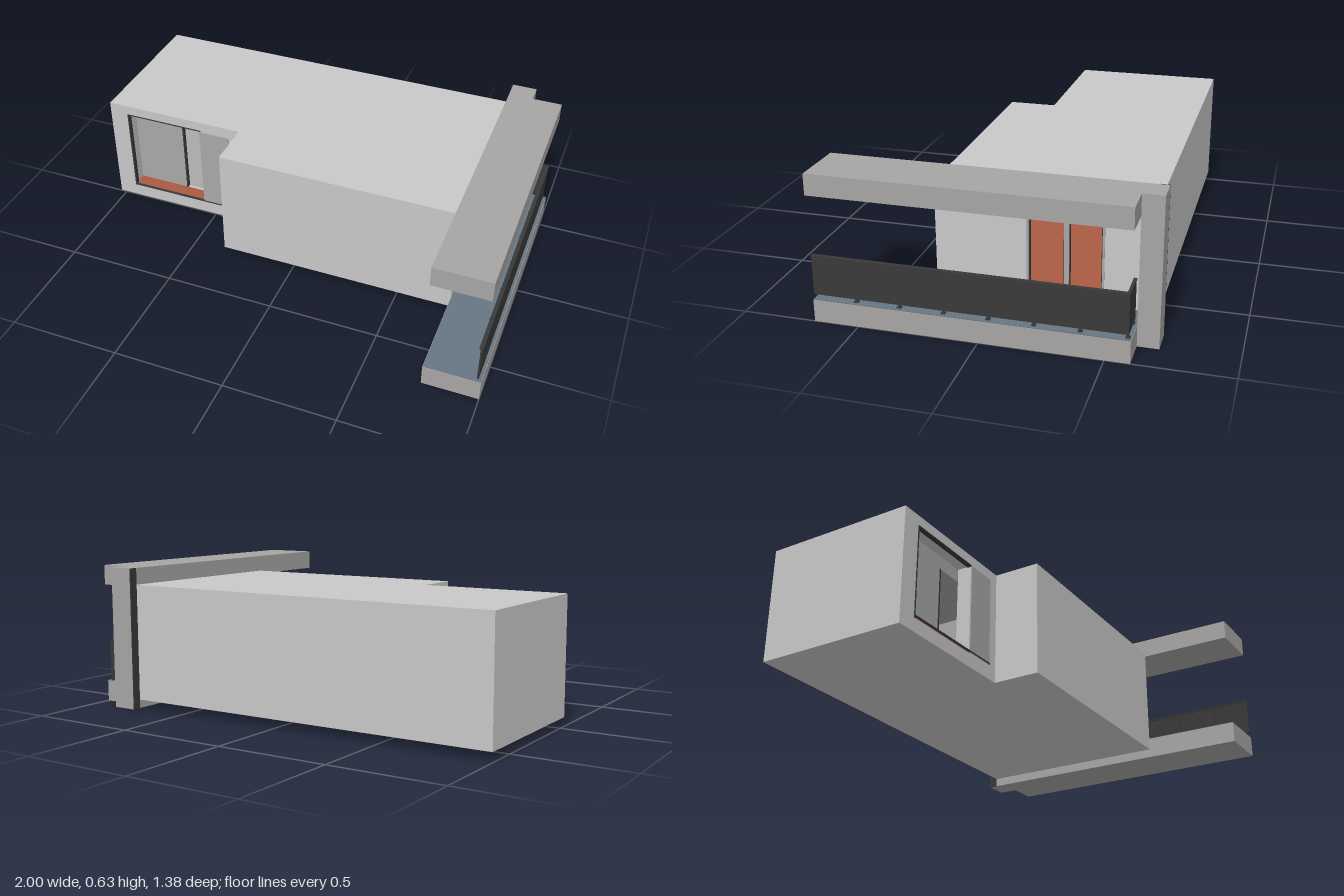
import * as THREE from 'three';

const mat = (name, color) => {
  const m = new THREE.MeshStandardMaterial({ color });
  m.name = name;
  return m;
};

export function createModel() {
  const model = new THREE.Group();
  model.name = 'apartment';

  const wall = mat('light plaster', 0xc8c8c8);
  const concrete = mat('concrete', 0xa6a5a3);
  const grey = mat('interior grey', 0xa8a8a8);
  const orange = mat('terracotta', 0xaa5b42);
  const dark = mat('dark metal', 0x393939);
  const deckBlue = mat('blue grey deck', 0x667683);

  const add = (name, geometry, material) => {
    const mesh = new THREE.Mesh(geometry, material);
    mesh.name = name;
    model.add(mesh);
    return mesh;
  };
  // Box from minimum and maximum corners
  const box = (name, material, x0, x1, y0, y1, z0, z1) => {
    const g = new THREE.BoxGeometry(x1 - x0, y1 - y0, z1 - z0);
    g.translate((x0 + x1) / 2, (y0 + y1) / 2, (z0 + z1) / 2);
    return add(name, g, material);
  };
  // Box seen from inside, with its own floor material
  const room = (name, floor, x0, x1, y0, y1, z0, z1) => {
    const g = new THREE.BoxGeometry(x1 - x0, y1 - y0, z1 - z0);
    g.scale(-1, 1, 1);
    g.computeVertexNormals();
    g.translate((x0 + x1) / 2, (y0 + y1) / 2, (z0 + z1) / 2);
    return add(name, g, [grey, grey, grey, floor, grey, grey]);
  };
  // Upright wall facing +z with one rectangular opening [u0, u1, v0, v1]
  const piercedWall = (u0, u1, v0, v1, hole, depth) => {
    const rect = (C, a, b, c, d) => {
      const p = new C();
      p.moveTo(a, c);
      p.lineTo(b, c);
      p.lineTo(b, d);
      p.lineTo(a, d);
      p.closePath();
      return p;
    };
    const shape = rect(THREE.Shape, u0, u1, v0, v1);
    shape.holes.push(rect(THREE.Path, ...hole));
    return new THREE.ExtrudeGeometry(shape, { depth, bevelEnabled: false });
  };

  // L-shaped floor and roof slabs
  const plan = new THREE.Shape([
    [-1, 0.65], [-1, -0.04], [-0.335, -0.04], [-0.335, -0.25], [0.755, -0.25], [0.755, 0.65],
  ].map(([x, y]) => new THREE.Vector2(x, y)));
  for (const [name, y, depth] of [['floorSlab', 0.04, 0.06], ['roof', 0.53, 0.03]]) {
    const g = new THREE.ExtrudeGeometry(plan, { depth, bevelEnabled: false });
    g.rotateX(-Math.PI / 2);
    g.translate(0, y, 0);
    add(name, g, wall);
  }

  // Outer walls
  box('backWall', wall, -1, 0.755, 0.1, 0.53, -0.65, -0.625);
  box('rightEndWall', wall, -1, -0.97, 0.1, 0.53, -0.625, -0.03);
  box('stepWall', wall, -0.335, -0.305, 0.1, 0.53, 0.04, 0.22);
  box('frontWall', wall, -0.335, 0.755, 0.1, 0.53, 0.22, 0.25);
  const entranceWall = piercedWall(-1, -0.305, 0.1, 0.53, [-0.91, -0.53, 0.101, 0.515], 0.07);
  entranceWall.translate(0, 0, -0.03);
  add('entranceWall', entranceWall, wall);
  const balconyWall = piercedWall(-0.22, 0.625, 0.1, 0.53, [0.13, 0.445, 0.101, 0.475], 0.03);
  balconyWall.rotateY(Math.PI / 2);
  balconyWall.translate(0.725, 0, 0);
  add('balconyWall', balconyWall, wall);

  // Rooms behind the openings
  room('livingRoom', orange, -0.1, 0.724, 0.103, 0.528, -0.622, 0.218);
  room('entranceRoom', grey, -0.96, -0.12, 0.103, 0.528, -0.622, -0.045);

  // Entrance recess: threshold, inner screen with doorway, sliding panel
  box('threshold', orange, -0.91, -0.53, 0.1, 0.105, -0.03, 0.04);
  box('innerScreen', grey, -0.93, -0.66, 0.1, 0.528, -0.045, -0.03);
  box('doorHeader', grey, -0.66, -0.51, 0.455, 0.528, -0.045, -0.03);
  box('doorEdge', dark, -0.664, -0.658, 0.105, 0.455, -0.046, -0.027);
  box('entranceFrameSide', dark, -0.912, -0.906, 0.1, 0.515, 0.02, 0.042);
  box('entranceFrameTop', dark, -0.912, -0.53, 0.511, 0.516, 0.02, 0.042);
  box('slidingPanel', grey, -0.535, -0.39, 0.105, 0.51, 0.04, 0.046);
  box('slidingTrack', dark, -0.91, -0.385, 0.105, 0.111, 0.038, 0.047);

  // Balcony door frame and two sashes
  const frame = (name, material, z0, z1, top, t, x0, x1) => {
    box(name + 'Back', material, x0, x1, 0.1, top, z0, z0 + t);
    box(name + 'Front', material, x0, x1, 0.1, top, z1 - t, z1);
    box(name + 'Top', material, x0, x1, top - t, top, z0 + t, z1 - t);
  };
  frame('balconyDoorFrame', grey, -0.445, -0.13, 0.475, 0.009, 0.73, 0.759);
  box('balconyDoorMullion', grey, 0.73, 0.758, 0.1, 0.466, -0.303, -0.283);
  frame('fixedSash', dark, -0.284, -0.139, 0.468, 0.004, 0.738, 0.752);
  frame('openingSash', dark, -0.436, -0.302, 0.448, 0.004, 0.738, 0.752);
  box('doorHandle', dark, 0.75, 0.764, 0.442, 0.448, -0.42, -0.395);

  // Balcony slab, deck, canopy and corner column
  box('balconySlab', concrete, 0.755, 1, 0, 0.095, -0.6, 0.688);
  box('balconyDeck', deckBlue, 0.757, 0.998, 0.094, 0.098, -0.598, 0.686);
  box('canopy', concrete, 0.755, 1, 0.545, 0.635, -0.6, 0.688);
  box('column', concrete, 0.755, 0.865, 0, 0.635, -0.688, -0.6);
  box('columnDarkFace', dark, 0.751, 0.755, 0, 0.635, -0.688, -0.65);
  box('columnTerracottaFace', orange, 0.752, 0.812, 0.098, 0.545, -0.6, -0.594);

  // Railing panels, handrails and posts
  box('railPanelSide', dark, 0.98, 0.988, 0.115, 0.285, -0.588, 0.688);
  box('railPanelBack', dark, 0.857, 0.988, 0.115, 0.285, -0.59, -0.582);
  box('handrailSide', dark, 0.974, 0.991, 0.281, 0.287, -0.59, 0.688);
  box('handrailBack', dark, 0.855, 0.991, 0.281, 0.287, -0.592, -0.579);
  const post = (x, z) => {
    box('railPost', dark, x - 0.005, x + 0.005, 0.095, 0.286, z - 0.004, z + 0.004);
    box('railFoot', dark, x - 0.009, x + 0.009, 0.097, 0.102, z - 0.009, z + 0.009);
  };
  for (let i = 0; i < 7; i++) post(0.977, 0.51 - i * 0.1825);
  post(0.866, -0.582);

  return model;
}
